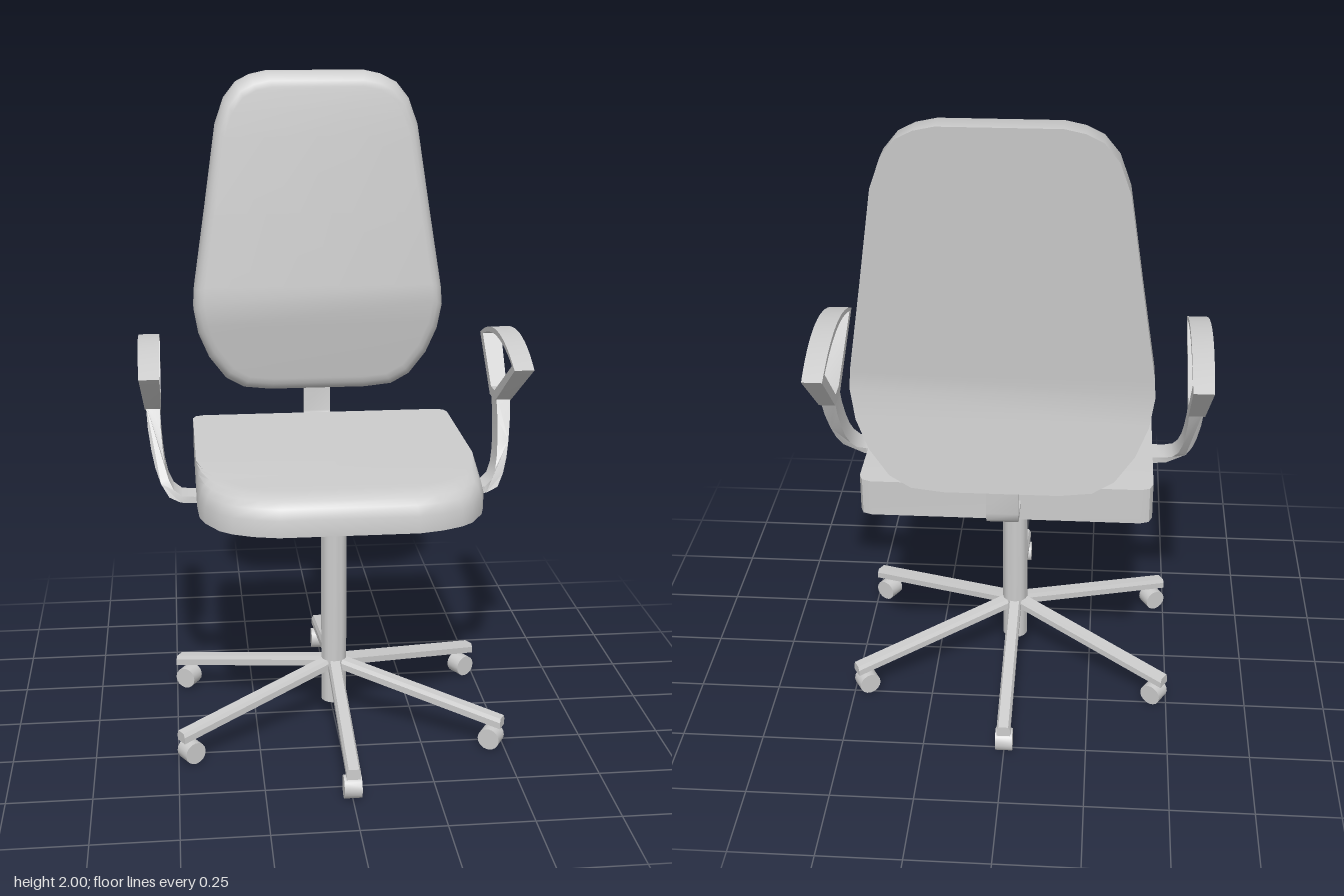
import * as THREE from 'three';
import { toCreasedNormals } from 'three/addons/utils/BufferGeometryUtils.js';

const material = new THREE.MeshStandardMaterial({ color: 0xcccccc });

function addMesh(parent, name, geometry, crease = 0.65) {
  const mesh = new THREE.Mesh(toCreasedNormals(geometry, crease), material);
  mesh.name = name;
  parent.add(mesh);
  return mesh;
}

// Padded slab: a half outline is mirrored in x, stacked in layers and closed with rungs.
// place(u, v, layer) returns the position of an outline point in that layer.
function cushion(half, layers, place) {
  const n = half.length;
  const loop = [...half, ...half.map(([u, v]) => [-u, v]).reverse()];
  const m = loop.length;
  const positions = [];
  const index = [];
  for (const layer of layers) for (const [u, v] of loop) positions.push(...place(u, v, layer));
  for (let k = 0; k < layers.length - 1; k++) {
    for (let i = 0; i < m; i++) {
      const a = k * m + i;
      const b = k * m + ((i + 1) % m);
      index.push(a, a + m, b, b, a + m, b + m);
    }
  }
  const top = (layers.length - 1) * m;
  for (let i = 0; i < n - 1; i++) {
    const [r0, r1, l1, l0] = [i, i + 1, m - 2 - i, m - 1 - i];
    index.push(top + r0, top + l0, top + l1, top + r0, top + l1, top + r1);
    index.push(r0, l1, l0, r0, r1, l1);
  }
  const geometry = new THREE.BufferGeometry();
  geometry.setAttribute('position', new THREE.Float32BufferAttribute(positions, 3));
  geometry.setIndex(index);
  return geometry;
}

// Flat band that follows a path in the xy plane, centred on z = 0
function strap(points, thickness, width) {
  const path = points.map(([x, y]) => new THREE.Vector2(x, y));
  const sides = [[], []];
  path.forEach((p, i) => {
    const before = path[Math.max(i - 1, 0)];
    const after = path[Math.min(i + 1, path.length - 1)];
    const dir = after.clone().sub(before).normalize();
    const normal = new THREE.Vector2(-dir.y, dir.x);
    const t = thickness(i / (path.length - 1)) / 2;
    sides[0].push(p.clone().addScaledVector(normal, t));
    sides[1].unshift(p.clone().addScaledVector(normal, -t));
  });
  const shape = new THREE.Shape([...sides[0], ...sides[1]]);
  return new THREE.ExtrudeGeometry(shape, { depth: width, bevelEnabled: false }).translate(0, 0, -width / 2);
}

function moveVertices(geometry, rule) {
  const pos = geometry.attributes.position;
  const v = new THREE.Vector3();
  for (let i = 0; i < pos.count; i++) {
    rule(v.fromBufferAttribute(pos, i));
    pos.setXYZ(i, v.x, v.y, v.z);
  }
  return geometry;
}

function createSeat() {
  const half = [
    [0.39, -0.425], [0.415, -0.415], [0.425, -0.39], [0.425, 0.08], [0.425, 0.18], [0.42, 0.28],
    [0.405, 0.335], [0.365, 0.405], [0.33, 0.435], [0.27, 0.463], [0.2, 0.48],
  ];
  // [height, inset]; the inset grows towards the front edge
  const layers = [[0.775, 0], [0.825, 0], [0.855, 0.025], [0.872, 0.06], [0.882, 0.11], [0.886, 0.17]];
  return cushion(half, layers, (u, v, [y, inset]) => {
    const s = 1 - inset * THREE.MathUtils.smoothstep(v, 0.05, 0.42);
    return [u * s, y, v * s];
  });
}

function createBackrest() {
  const half = [
    [0.16, 2], [0.215, 1.988], [0.26, 1.965], [0.3, 1.915], [0.33, 1.83], [0.37, 1.56], [0.41, 1.3],
    [0.414, 1.24], [0.4, 1.155], [0.365, 1.07], [0.31, 0.995], [0.25, 0.96], [0.16, 0.95],
  ];
  // [distance from the back face, inset]
  const layers = [[0, 0], [0.075, 0], [0.095, 0.02], [0.107, 0.05], [0.111, 0.085]];
  return cushion(half, layers, (u, v, [d, inset]) => {
    // the slab kinks backwards above and below the lumbar line
    const zBack = v > 1.24 ? -0.54 - 0.073 * (v - 1.24) : -0.54 - 0.14 * (1.24 - v);
    return [u * (1 - inset), 1.45 + (v - 1.45) * (1 - inset), zBack + d];
  });
}

// Looped armrest frame, drawn as (-z, y) and turned to face sideways
function createArmFrame(side) {
  const shape = new THREE.Shape();
  shape.moveTo(-0.175, 1.165);
  shape.quadraticCurveTo(0.09, 1.29, 0.36, 1.165);
  shape.lineTo(0.18, 1.0);
  shape.lineTo(0.095, 1.0);
  shape.closePath();
  const hole = new THREE.Path();
  hole.moveTo(-0.135, 1.17);
  hole.lineTo(0.11, 1.03);
  hole.lineTo(0.165, 1.03);
  hole.lineTo(0.315, 1.17);
  hole.quadraticCurveTo(0.09, 1.25, -0.135, 1.17);
  shape.holes.push(hole);
  const geometry = new THREE.ExtrudeGeometry(shape, { depth: 0.058, bevelEnabled: false, curveSegments: 14 });
  geometry.rotateY(Math.PI / 2).translate(-0.029, 0, 0);
  // slightly wider at the top
  return moveVertices(geometry, (v) => {
    v.x = v.x * (0.85 + (v.y - 1) * 1.15) + side * (0.551 + (v.y - 1) * 0.03);
  });
}

function createArmStrut(side) {
  const path = [
    [0.551, 1.025], [0.548, 0.95], [0.541, 0.89], [0.533, 0.845], [0.52, 0.805], [0.5, 0.775], [0.47, 0.759], [0.43, 0.757], [0.34, 0.757],
  ].map(([x, y]) => [side * x, y]);
  const geometry = strap(path, (t) => 0.044 - 0.024 * Math.min(1, t * 1.5), 0.085);
  // lean backwards with height
  return moveVertices(geometry, (v) => {
    const t = Math.max(0, (v.y - 0.768) / 0.255);
    v.z += 0.025 - 0.16 * Math.pow(t, 0.7);
  });
}

function createBase() {
  const base = new THREE.Group();
  base.name = 'base';
  base.position.z = 0.03;
  addMesh(base, 'column', new THREE.CylinderGeometry(0.04, 0.04, 0.72, 24).translate(0, 0.42, 0));

  const profile = new THREE.Shape([[-0.021, 0.178], [0.021, 0.178], [0.021, 0.198], [0.015, 0.21], [-0.015, 0.21], [-0.021, 0.198]]
    .map(([x, y]) => new THREE.Vector2(x, y)));
  for (let i = 0; i < 6; i++) {
    const arm = new THREE.Group();
    arm.name = 'baseLeg';
    arm.rotation.y = (i * Math.PI) / 3;
    const leg = new THREE.ExtrudeGeometry(profile, { depth: 0.567, bevelEnabled: false });
    addMesh(arm, 'spoke', moveVertices(leg, (v) => { v.y -= v.z * 0.185; }), 0.4);
    const wheel = new THREE.CylinderGeometry(0.034, 0.034, 0.052, 16).rotateZ(Math.PI / 2);
    addMesh(arm, 'caster', wheel.translate(0, 0.034, 0.532));
    base.add(arm);
  }
  return base;
}

export function createModel() {
  const chair = new THREE.Group();
  chair.name = 'officeChair';
  chair.add(createBase());
  addMesh(chair, 'seat', createSeat(), 0.75);
  addMesh(chair, 'backrest', createBackrest(), 0.75);

  // Bent bracket between seat and backrest
  const bracketPath = [[0.38, 0.83], [0.505, 0.83], [0.522, 0.835], [0.533, 0.846], [0.537, 0.865], [0.537, 1.02]];
  addMesh(chair, 'backBracket', strap(bracketPath, () => 0.017, 0.09).rotateY(Math.PI / 2));

  for (const side of [1, -1]) {
    const arm = new THREE.Group();
    arm.name = side > 0 ? 'leftArmrest' : 'rightArmrest';
    addMesh(arm, 'armFrame', createArmFrame(side));
    addMesh(arm, 'armStrut', createArmStrut(side));
    chair.add(arm);
  }
  return chair;
}
